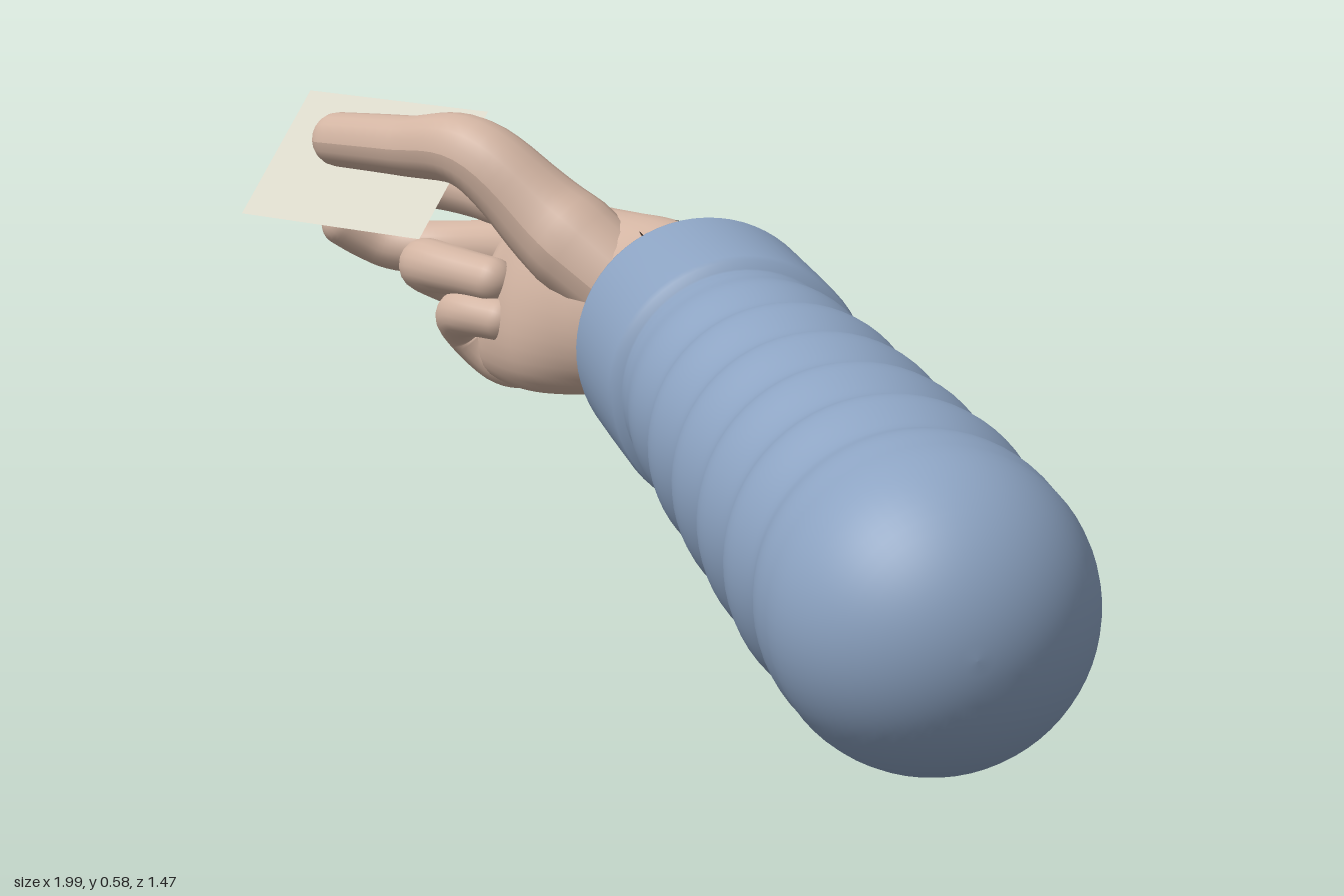
import * as THREE from 'three';
import { mergeGeometries } from 'three/addons/utils/BufferGeometryUtils.js';

const V = (x, y, z) => new THREE.Vector3(x, y, z);
const paint = (color, extra = {}) => new THREE.MeshStandardMaterial({ color, ...extra });
const sleeveMat = paint(0x8ca3c2);
const skinMat = paint(0xd2b4a2);
const hairMat = paint(0x33271f);
const cardMat = paint(0xd8d6c8, { side: THREE.DoubleSide });

function addMesh(parent, name, geometry, material) {
  const mesh = new THREE.Mesh(geometry, material);
  mesh.name = name;
  parent.add(mesh);
  return mesh;
}

// Sleeve profile, turned about its axis: s = 0 at the cuff opening, 1.21 at the shoulder
function sleeveGeometry() {
  const p = [[0.001, 0.3], [0.11, 0.3], [0.125, 0.1], [0.132, 0.07], [0.152, 0.065], [0.16, 0.012],
    [0.164, 0.002], [0.172, 0], [0.179, 0.004], [0.181, 0.012], [0.182, 0.13], [0.182, 0.236],
    [0.179, 0.247], [0.167, 0.25], [0.166, 0.256]];
  for (let i = 1; i <= 72; i++) {
    const t = i / 72;
    const fade = Math.min(1, t * 6, (1 - t) * 8);
    p.push([0.168 + 0.031 * t - 0.009 * fade * Math.cos(t * Math.PI * 2 * 5.7), 0.256 + 0.954 * t]);
  }
  for (let i = 1; i <= 16; i++) {
    const a = (i / 16) * Math.PI / 2;
    p.push([Math.max(0.2 * Math.cos(a), 0), 1.21 + 0.2 * Math.sin(a)]);
  }
  return new THREE.LatheGeometry(p.map(([r, s]) => new THREE.Vector2(r, s)), 64);
}

// Elliptical sections of forearm and palm: centre, half axis towards the thumb side, half axis towards the palm
const sections = [
  [V(0.12, 0.285, -0.12), V(0, 0.1, 0), V(-0.065, 0, 0.065)],
  [V(0.02, 0.3, -0.23), V(0, 0.11, 0), V(-0.068, 0, 0.068)],
  [V(-0.11, 0.315, -0.37), V(0, 0.116, 0), V(-0.068, 0, 0.07)],
  [V(-0.24, 0.315, -0.475), V(0, 0.125, -0.01), V(-0.05, 0, 0.085)],
  [V(-0.37, 0.305, -0.51), V(0, 0.135, -0.03), V(-0.03, 0.02, 0.09)],
  [V(-0.5, 0.295, -0.56), V(0, 0.135, -0.06), V(-0.02, 0.03, 0.075)],
  [V(-0.6, 0.285, -0.625), V(0.01, 0.125, -0.06), V(-0.02, 0.03, 0.055)],
  [V(-0.64, 0.285, -0.64), V(0.008, 0.09, -0.045), V(-0.01, 0.02, 0.035)],
  [V(-0.65, 0.285, -0.645), V(0, 0.001, 0), V(0, 0, 0.001)],
];
const rails = [0, 1, 2].map(k => new THREE.CatmullRomCurve3(sections.map(s => s[k])));
function armPoint(t, a) {
  const [c, u, v] = rails.map(r => r.getPoint(t));
  return c.addScaledVector(u, Math.cos(a)).addScaledVector(v, Math.sin(a));
}

function armGeometry(rows = 64, around = 36) {
  const pos = [], idx = [];
  for (let i = 0; i <= rows; i++) {
    for (let j = 0; j < around; j++) {
      pos.push(...armPoint(i / rows, (j / around) * Math.PI * 2).toArray());
      if (i === rows) continue;
      const a = i * around + j, b = i * around + (j + 1) % around;
      idx.push(a, a + around, b, b, a + around, b + around);
    }
  }
  const g = new THREE.BufferGeometry();
  g.setAttribute('position', new THREE.Float32BufferAttribute(pos, 3));
  g.setIndex(idx);
  g.computeVertexNormals();
  return g;
}

// Finger: tube with radii interpolated along its length, swollen joints and a round tip
function fingerGeometry(points, radii) {
  const curve = new THREE.CatmullRomCurve3(points.map(p => V(...p)), false, 'centripetal');
  const rows = 48, around = 18, length = curve.getLength();
  const g = new THREE.TubeGeometry(curve, rows, 1, around);
  const pos = g.attributes.position, q = V(0, 0, 0);
  for (let i = 0; i <= rows; i++) {
    // Rows crowd together towards the tip
    const t = Math.sin((i / rows) * Math.PI / 2);
    const c = curve.getPointAt(i / rows), d = curve.getPointAt(t);
    const k = Math.min(t * (radii.length - 1), radii.length - 1.0001), n = Math.floor(k);
    let r = THREE.MathUtils.lerp(radii[n], radii[n + 1], k - n);
    const tip = Math.min(1, (1 - t) * length / r);
    r *= Math.sqrt(Math.max(1 - (1 - tip) ** 2, 0.0001));
    const from = curve.getTangentAt(i / rows), to = curve.getTangentAt(t);
    const turn = new THREE.Quaternion().setFromUnitVectors(from, to);
    for (let j = 0; j <= around; j++) {
      const m = i * (around + 1) + j;
      q.fromBufferAttribute(pos, m).sub(c).applyQuaternion(turn).multiplyScalar(r).add(d);
      pos.setXYZ(m, q.x, q.y, q.z);
    }
  }
  g.computeVertexNormals();
  return g;
}

const fingers = {
  thumb: [[[-0.31, 0.34, -0.47], [-0.42, 0.42, -0.455], [-0.54, 0.52, -0.425], [-0.68, 0.52, -0.445], [-0.87, 0.513, -0.487]],
    [0.07, 0.075, 0.062, 0.054, 0.046, 0.043, 0.04]],
  indexFinger: [[[-0.48, 0.385, -0.6], [-0.61, 0.405, -0.665], [-0.79, 0.425, -0.695], [-0.87, 0.43, -0.66], [-0.925, 0.445, -0.585]],
    [0.05, 0.056, 0.046, 0.042, 0.042, 0.034, 0.032]],
  middleFinger: [[[-0.5, 0.33, -0.61], [-0.62, 0.34, -0.67], [-0.79, 0.325, -0.695], [-0.875, 0.325, -0.66], [-0.945, 0.375, -0.59]],
    [0.05, 0.055, 0.044, 0.041, 0.041, 0.034, 0.031]],
  ringFinger: [[[-0.53, 0.26, -0.61], [-0.64, 0.27, -0.64], [-0.725, 0.305, -0.595], [-0.715, 0.325, -0.54], [-0.54, 0.315, -0.51]],
    [0.05, 0.053, 0.044, 0.042, 0.04, 0.036, 0.034]],
  littleFinger: [[[-0.52, 0.2, -0.57], [-0.61, 0.19, -0.59], [-0.655, 0.235, -0.56], [-0.63, 0.262, -0.515], [-0.52, 0.26, -0.5]],
    [0.045, 0.048, 0.042, 0.038, 0.036, 0.033, 0.031]],
};

// Short hairs lying along the forearm and the back of the hand
function hairGeometry() {
  let seed = 7;
  const rand = () => (seed = (seed * 16807) % 2147483647) / 2147483647;
  const hairs = [];
  for (let i = 0; i < 260; i++) {
    const t = 0.16 + 0.58 * rand();
    // All around the forearm, only the back on the hand
    const a = t < 0.38 ? rand() * Math.PI * 2 : Math.PI * (1.1 + 0.8 * rand());
    const p = armPoint(t, a), q = armPoint(t + 0.02, a + (rand() - 0.5) * 0.3);
    const h = new THREE.ConeGeometry(0.0032, 0.014 + 0.016 * rand(), 3);
    h.applyQuaternion(new THREE.Quaternion().setFromUnitVectors(V(0, 1, 0), q.sub(p).normalize()));
    hairs.push(h.translate(p.x, p.y, p.z));
  }
  return mergeGeometries(hairs);
}

// Flat card spanned by one corner and two edges
function cardGeometry() {
  const g = new THREE.PlaneGeometry(1, 1);
  const edge = V(0.375, 0, 0.055), drop = V(-0.02, -0.175, 0.15), corner = V(-0.98, 0.565, -0.605);
  const pos = g.attributes.position;
  for (let i = 0; i < pos.count; i++) {
    const p = corner.clone().addScaledVector(edge, pos.getX(i) + 0.5).addScaledVector(drop, 0.5 - pos.getY(i));
    pos.setXYZ(i, p.x, p.y, p.z);
  }
  g.computeVertexNormals();
  return g;
}

export function createModel() {
  const model = new THREE.Group();
  model.name = 'sleevedArmWithCard';

  const sleeve = addMesh(model, 'sleeve', sleeveGeometry(), sleeveMat);
  sleeve.position.set(-0.075, 0.305, -0.315);
  sleeve.quaternion.setFromUnitVectors(V(0, 1, 0), V(0.865, -0.105, 0.845).normalize());

  const hand = new THREE.Group();
  hand.name = 'hand';
  model.add(hand);
  addMesh(hand, 'forearmAndPalm', armGeometry(), skinMat);
  for (const [name, [points, radii]] of Object.entries(fingers)) {
    addMesh(hand, name, fingerGeometry(points, radii), skinMat);
  }
  addMesh(hand, 'armHair', hairGeometry(), hairMat);
  addMesh(model, 'card', cardGeometry(), cardMat);
  return model;
}
